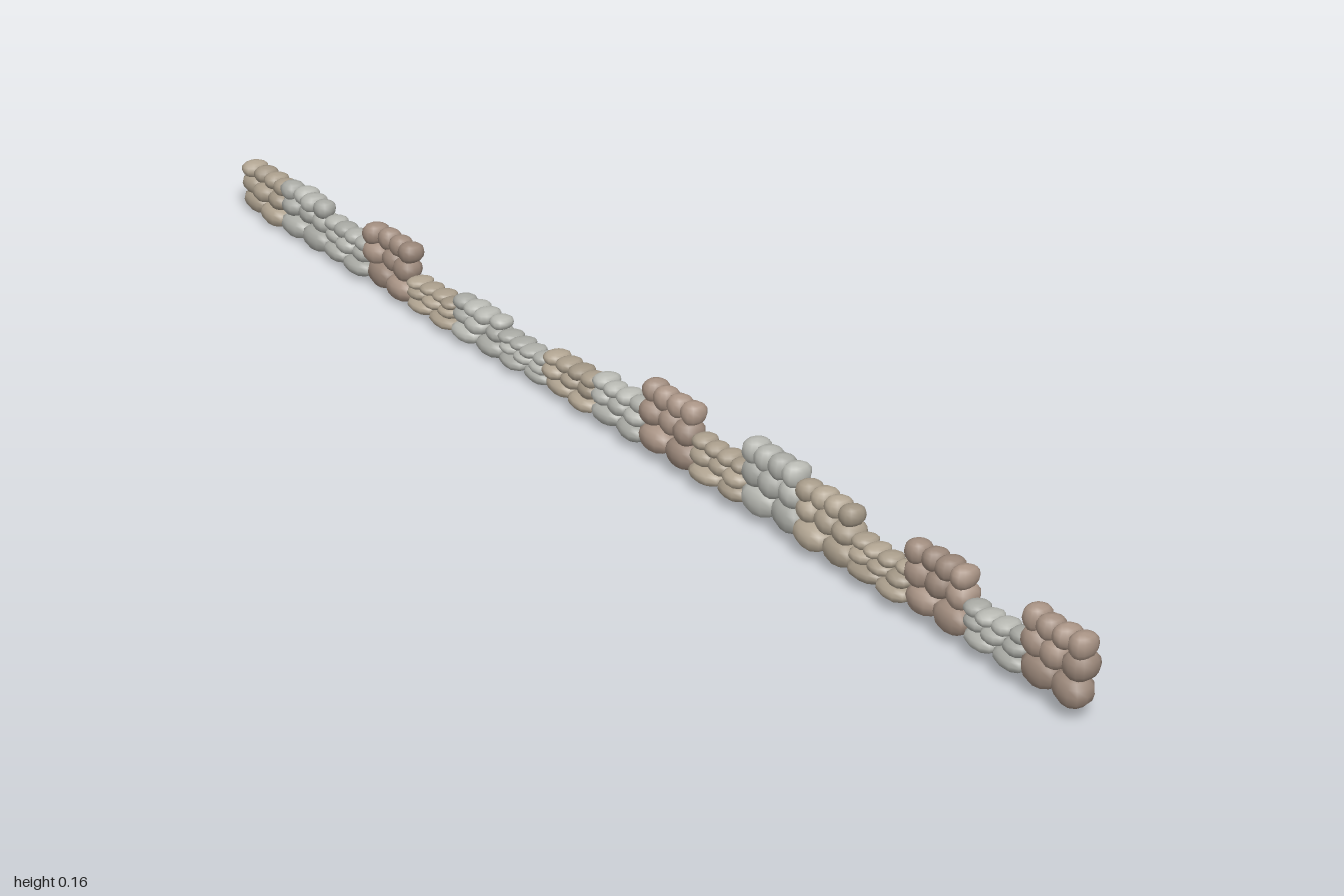
import * as THREE from 'three';

// Small seeded generator for natural variation
let seed = 7;
const rand = () => {
  seed = (seed * 16807) % 2147483647;
  return seed / 2147483647;
};
const vary = (amount) => 1 + (rand() * 2 - 1) * amount;

// Rounded field stone: a sphere pushed towards a soft box with gentle lumps
function stoneGeometry(phase) {
  const geometry = new THREE.SphereGeometry(1, 12, 8);
  const p = geometry.attributes.position;
  const soften = (v) => Math.sign(v) * Math.pow(Math.abs(v), 0.88);
  for (let i = 0; i < p.count; i++) {
    const x = p.getX(i), y = p.getY(i), z = p.getZ(i);
    const lump = 0.95 + 0.06 * Math.sin(3 * x + phase) * Math.cos(2.5 * y + 2 * z + phase);
    p.setXYZ(i, soften(x) * lump, soften(y) * lump, soften(z) * lump);
  }
  geometry.computeVertexNormals();
  return geometry;
}

// Each wall section: [bottom, top, colour]
const BROWN = 0xa08c7e, TAN = 0xa89c8a, GREY = 0xaeafa9;
const SECTIONS = [
  [0.002, 0.106, TAN], [0.002, 0.115, GREY], [0.006, 0.092, GREY], [0.004, 0.134, BROWN],
  [0.008, 0.074, TAN], [0.005, 0.094, GREY], [0.007, 0.075, GREY], [0.01, 0.093, TAN],
  [0.012, 0.105, GREY], [0.015, 0.154, BROWN], [0.015, 0.105, TAN], [0.015, 0.159, GREY],
  [0.015, 0.139, TAN], [0.018, 0.096, TAN], [0.018, 0.154, BROWN], [0.019, 0.102, GREY],
  [0.019, 0.163, BROWN],
];

// Courses from the ground up: stone count, share of height, half depth
const COURSES = [
  { count: 2, from: 0, to: 0.42, depth: 0.035 },
  { count: 3, from: 0.36, to: 0.74, depth: 0.032 },
  { count: 4, from: 0.66, to: 1, depth: 0.028 },
];
const LENGTH = 0.162;
const STEP_X = 0.1075, STEP_Z = 0.1165;

export function createModel() {
  seed = 7;
  const model = new THREE.Group();
  model.name = 'dryStoneWall';
  const shapes = [0, 1.3, 2.6, 4.1, 5.4].map(stoneGeometry);
  const heading = -Math.atan2(STEP_Z, STEP_X);

  // Three shades per stone colour
  const palette = {};
  for (const color of [BROWN, TAN, GREY]) {
    palette[color] = [0.9, 1, 1.1].map((shade) =>
      new THREE.MeshStandardMaterial({ color: new THREE.Color(color).multiplyScalar(shade) }));
  }

  function addStone(parent, name, color, position, size) {
    const shape = shapes[Math.floor(rand() * shapes.length)];
    const material = palette[color][Math.floor(rand() * 3)];
    const stone = new THREE.Mesh(shape, material);
    stone.name = name;
    stone.position.set(...position);
    stone.scale.set(...size);
    parent.add(stone);
    return stone;
  }

  // Wall sections set end to end along the diagonal
  SECTIONS.forEach(([bottom, top, color], i) => {
    const section = new THREE.Group();
    section.name = 'wallSection' + (i + 1);
    const k = i - (SECTIONS.length - 1) / 2;
    section.position.set(k * STEP_X, bottom, k * STEP_Z);
    section.rotation.y = heading;
    const height = top - bottom;

    for (const { count, from, to, depth } of COURSES) {
      const pitch = LENGTH / count;
      const half = (to - from) * height / 2;
      for (let s = 0; s < count; s++) {
        const x = (s + 0.5) * pitch - LENGTH / 2;
        const y = (from + to) / 2 * height;
        const z = (rand() - 0.5) * 0.009;
        const stone = addStone(section, 'stone', color, [x, y, z],
          [pitch * 0.55 * vary(0.05), half * 1.03 * vary(0.05), depth * vary(0.12)]);
        stone.rotation.y = (rand() - 0.5) * 0.2;
      }
    }
    model.add(section);
  });

  // One loose stone standing off the wall face
  const loose = addStone(model, 'looseStone', GREY, [0.43, 0.04, 0.383], [0.024, 0.012, 0.01]);
  loose.rotation.y = heading;
  return model;
}
